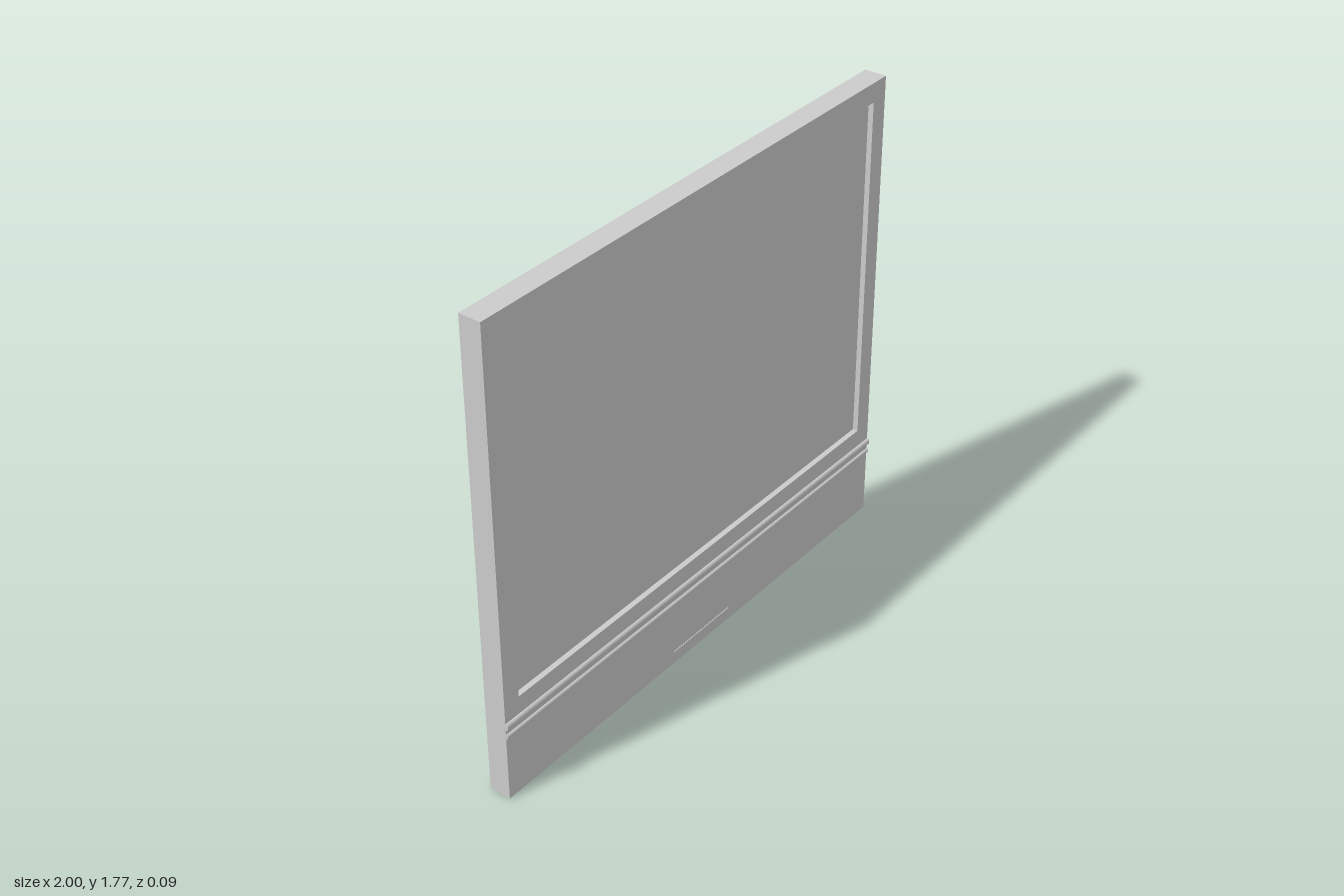
import * as THREE from 'three';

const BACK = -0.046, FRONT = 0.036;
const HEIGHT = 1.77;
const OPENING = { x: 0.933, bottom: 0.38, top: 1.698 };

export function createModel() {
  const group = new THREE.Group();
  const material = new THREE.MeshStandardMaterial({ color: 0xcccccc });
  const add = (name, geometry, x = 0, y = 0, z = 0) => {
    const mesh = new THREE.Mesh(geometry, material);
    mesh.name = name;
    mesh.position.set(x, y, z);
    group.add(mesh);
    return mesh;
  };
  const rectangle = (target, x, bottom, top) => target
    .moveTo(-x, bottom).lineTo(x, bottom).lineTo(x, top).lineTo(-x, top).closePath();

  // Flat frame with a deep bottom rail and one large opening
  const outline = rectangle(new THREE.Shape(), 1, 0, HEIGHT);
  outline.holes.push(rectangle(new THREE.Path(), OPENING.x, OPENING.bottom, OPENING.top));
  add('frame', new THREE.ExtrudeGeometry(outline, { depth: FRONT - BACK, bevelEnabled: false }), 0, 0, BACK);

  // Panel recessed from both faces
  const panelHeight = OPENING.top - OPENING.bottom;
  add('panel', new THREE.BoxGeometry(OPENING.x * 2, panelHeight, 0.042),
    0, OPENING.bottom + panelHeight / 2, (FRONT + BACK) / 2);

  // Two rounded trim strips across the full width
  const strip = (name, y, height, depth) => {
    const profile = new THREE.Shape();
    profile.absellipse(0, 0, depth, height / 2, -Math.PI / 2, Math.PI / 2);
    profile.closePath();
    const geometry = new THREE.ExtrudeGeometry(profile, { depth: 2, bevelEnabled: false, curveSegments: 10 });
    geometry.rotateY(-Math.PI / 2);
    add(name, geometry, 1, y, FRONT);
  };
  strip('upperTrim', 0.299, 0.026, 0.011);
  strip('lowerTrim', 0.259, 0.018, 0.008);

  // Fine row of beads low on the bottom rail
  const count = 26, halfRow = 0.149;
  const bead = new THREE.SphereGeometry(0.006, 10, 6).scale(1, 1, 0.55);
  for (let i = 0; i < count; i++) {
    add('bead', bead, -halfRow + (2 * halfRow * i) / (count - 1), 0.047, FRONT);
  }
  return group;
}
